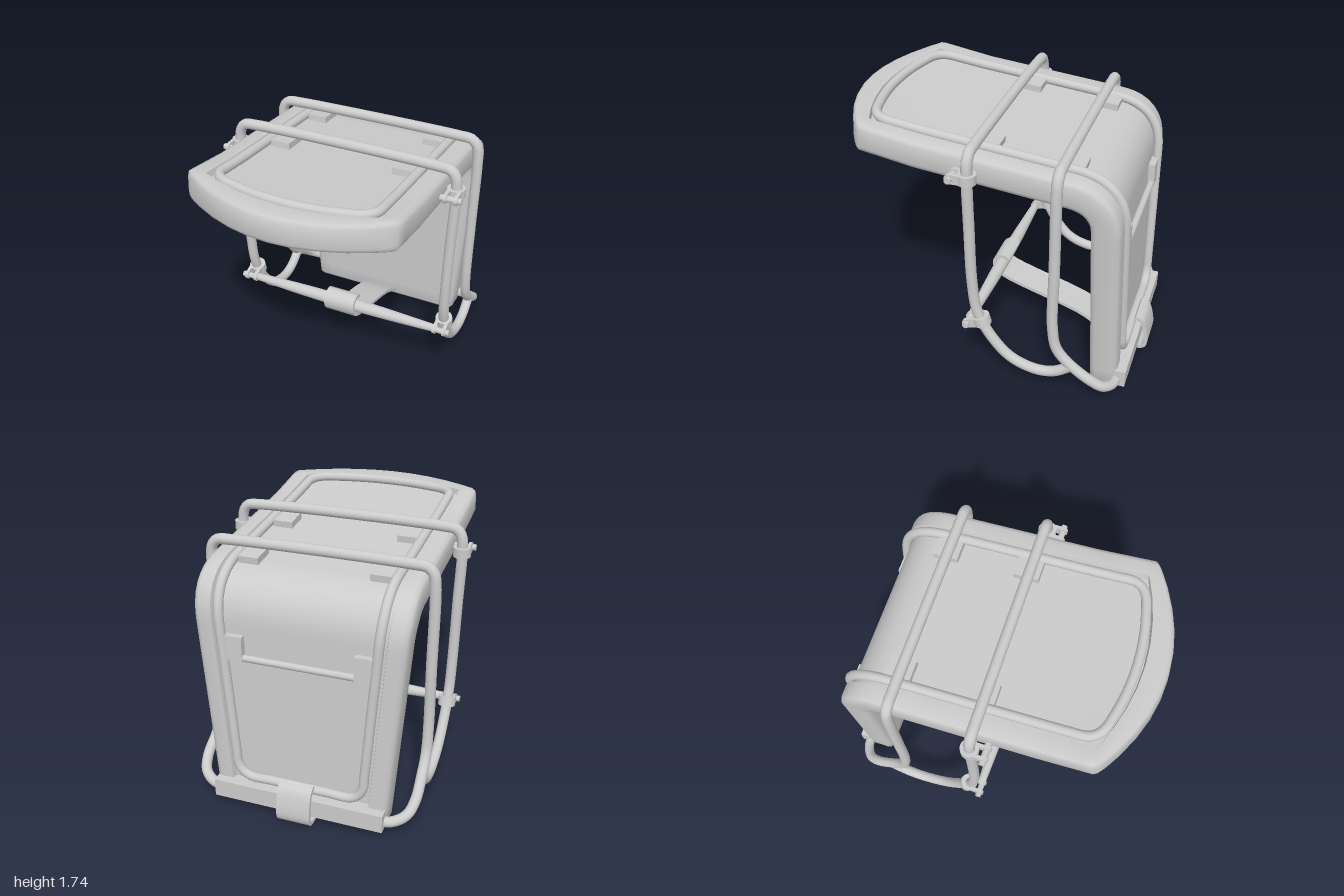
import * as THREE from 'three';
import { toCreasedNormals } from 'three/addons/utils/BufferGeometryUtils.js';

const V = (x, y, z) => new THREE.Vector3(x, y, z);
const H = 0.18; // panel thickness

// Centre line of the bent panel: front edge, bend, bottom edge
const spine = new THREE.CurvePath();
const b0 = V(0, 1.496, -0.54), b1 = V(0, 1.475, -0.76), b2 = V(0, 1.255, -0.765);
spine.add(new THREE.LineCurve3(V(0, 1.645, 0.99), b0));
spine.add(new THREE.QuadraticBezierCurve3(b0, b1, b2));
spine.add(new THREE.LineCurve3(b2, V(0, 0.05, -0.795)));
const L = spine.getLength();

const widthAt = s => 0.67 - 0.11 * Math.max(0, (s - 1.75) / (L - 1.75));

// Point at x across, n above the centre line, s along it; the front edge bows forward
function place(x, n, s) {
  const p = spine.getPoint(s / L), t = spine.getTangent(s / L);
  const bow = 0.24 * Math.max(0, 1 - s / 0.6) * (x / 0.67) ** 2;
  return V(x, p.y - t.z * n, p.z + t.y * n - bow);
}

export function createModel() {
  const model = new THREE.Group();
  const mat = new THREE.MeshStandardMaterial({ color: 0xcccccc });

  function add(name, geo, parent = model) {
    const mesh = new THREE.Mesh(geo, mat);
    mesh.name = name;
    parent.add(mesh);
    return mesh;
  }
  const tube = (name, pts, r, closed = false, n = 200) =>
    add(name, new THREE.TubeGeometry(new THREE.CatmullRomCurve3(pts, closed), n, r, 14, closed));
  const mirrored = half => [...half, ...half.map(p => V(-p.x, p.y, p.z)).reverse()];

  add('bentPanel', panelGeometry());

  // Frame tube lying in the panel's recess
  const nTube = H / 2 - 0.005, end = L - 0.17, side = s => widthAt(s) - 0.165;
  const half = [];
  for (const x of [0.06, 0.16, 0.26, 0.36, 0.42]) half.push([x, 0.185]);
  half.push([0.47, 0.205], [0.498, 0.25]);
  for (let i = 0; i <= 36; i++) {
    const s = 0.3 + (end - 0.09 - 0.3) * i / 36;
    half.push([side(s), s]);
  }
  half.push([side(end) - 0.025, end - 0.03], [side(end) - 0.08, end], [0.2, end], [0.06, end]);
  tube('panelFrame', mirrored(half.map(([x, s]) => place(x, nTube, s))), 0.03, true, 320);

  // Pads and rear crossbar on the panel
  for (const sx of [-1, 1]) {
    for (const s of [0.975, 1.497, L - 1.06]) {
      const pad = add('pad', new THREE.BoxGeometry(0.13, 0.045, 0.16));
      const t = spine.getTangent(s / L);
      pad.position.copy(place(0, H / 2 - 0.015, s)).setX(sx * 0.415);
      pad.rotation.x = Math.atan2(t.y, -t.z);
    }
  }
  const cross = add('rearCrossbar', new THREE.CylinderGeometry(0.022, 0.022, 0.94, 12));
  cross.rotation.z = Math.PI / 2;
  cross.position.copy(place(0, H / 2 - 0.015, L - 1));

  // Two hoops around the panel
  tube('frontHoop', mirrored([
    V(0.71, 0.28, -0.62), V(0.71, 0.205, -0.51), V(0.71, 0.185, -0.39), V(0.71, 0.24, -0.22),
    V(0.715, 0.4, -0.08), V(0.72, 0.58, 0), V(0.725, 0.8, 0.025), V(0.734, 1.2, 0.03),
    V(0.743, 1.58, 0.03), V(0.732, 1.65, 0.03), V(0.7, 1.69, 0.03), V(0.62, 1.7, 0.03),
  ]), 0.034);
  tube('rearHoop', mirrored([
    V(0.5, 0.1, -0.88), V(0.6, 0.105, -0.87), V(0.68, 0.14, -0.82), V(0.71, 0.2, -0.74),
    V(0.71, 0.3, -0.6), V(0.71, 0.4, -0.52), V(0.71, 0.56, -0.49), V(0.71, 1, -0.49),
    V(0.71, 1.53, -0.49), V(0.698, 1.6, -0.49), V(0.66, 1.638, -0.49), V(0.58, 1.645, -0.49),
  ]), 0.034);

  // Bolted clamps on the front hoop
  for (const sx of [-1, 1]) {
    for (const [name, x, y, z, tilt] of [['upperClamp', 0.742, 1.55, 0.03, 0], ['lowerClamp', 0.717, 0.51, -0.03, 0.28]]) {
      const clamp = new THREE.Group();
      clamp.name = name;
      clamp.position.set(sx * x, y, z);
      clamp.rotation.x = tilt;
      add('clampRing', new THREE.CylinderGeometry(0.056, 0.056, 0.06, 24), clamp);
      for (const e of [-1, 1]) {
        add('clampEar', new THREE.BoxGeometry(0.022, 0.06, 0.07), clamp).position.set(e * 0.034, 0, 0.06);
        const tip = add('clampEarTip', new THREE.CylinderGeometry(0.03, 0.03, 0.022, 16), clamp);
        tip.rotation.z = Math.PI / 2;
        tip.position.set(e * 0.034, 0, 0.093);
      }
      const bolt = add('clampBolt', new THREE.CylinderGeometry(0.02, 0.02, 0.135, 16), clamp);
      bolt.rotation.z = Math.PI / 2;
      bolt.position.z = 0.093;
      model.add(clamp);
    }
  }

  // Swelling rod between the lower clamps
  const rodPts = [];
  for (let i = 0; i <= 24; i++) {
    const x = -0.7 + 1.4 * i / 24;
    rodPts.push(new THREE.Vector2(0.025 + 0.019 * Math.cos(x / 0.7 * Math.PI / 2), x));
  }
  rodPts.unshift(new THREE.Vector2(0, -0.7));
  rodPts.push(new THREE.Vector2(0, 0.7));
  const rod = add('frontRod', new THREE.LatheGeometry(rodPts, 20));
  rod.rotation.z = Math.PI / 2;
  rod.position.set(0, 0.488, 0.055);

  // Bottom bar
  add('bottomBar', new THREE.BoxGeometry(1.12, 0.12, 0.12)).position.set(0, 0.12, -0.88);

  // Strap from the rod to the bottom bar
  const strapPath = new THREE.SplineCurve([
    [-0.9, 0.265], [-0.95, 0.235], [-0.978, 0.15], [-0.985, 0.06], [-0.95, 0.02], [-0.85, 0.025],
    [-0.72, 0.085], [-0.55, 0.19], [-0.4, 0.25], [-0.15, 0.325], [0.02, 0.385], [0.09, 0.44],
    [0.104, 0.5], [0.08, 0.54], [0.04, 0.552], [0, 0.53],
  ].map(p => new THREE.Vector2(...p)));
  const edges = [[], []];
  for (let i = 0; i <= 80; i++) {
    const p = strapPath.getPoint(i / 80), t = strapPath.getTangent(i / 80);
    [0.012, -0.012].forEach((o, k) => edges[k].push(new THREE.Vector2(p.x - t.y * o, p.y + t.x * o)));
  }
  const strapGeo = new THREE.ExtrudeGeometry(new THREE.Shape([...edges[0], ...edges[1].reverse()]),
    { depth: 0.22, bevelEnabled: false });
  strapGeo.translate(0, 0, -0.11).rotateY(-Math.PI / 2);
  add('strap', toCreasedNormals(strapGeo, 0.7));

  return model;
}

// Panel skin: rounded cross-sections with a shallow recess, swept along the spine
function panelGeometry() {
  const r = 0.035, r0 = 0.15, r1 = L - 0.125;
  // stations: [distance, edge inset, recess depth]
  const stations = [[0, 0.03, 0], [0.01, 0.01, 0], [0.03, 0, 0], [r0 - 0.01, 0, 0], [r0, 0, 0.035]];
  for (let i = 1; i < 70; i++) stations.push([r0 + (r1 - r0) * i / 70, 0, 0.035]);
  stations.push([r1, 0, 0.035], [r1 + 0.01, 0, 0], [L - 0.02, 0, 0], [L - 0.006, 0.006, 0], [L, 0.02, 0]);

  const pos = [], idx = [];
  let n = 0;
  for (const [s, inset, depth] of stations) {
    const w = widthAt(s) - inset, h = H / 2 - inset, rim = w - 0.115;
    const right = [0.25, 0.5, 0.75].map(f => [f * rim, depth, 0]);
    right.push([rim - 0.01, depth, 0], [rim, 0, 0], [w - r, 0, 0], [w - 0.29 * r, 0.29 * r, 0.29 * r], [w, r, r]);
    const row = [...right.map(([x, a, b]) => [-x, a, b]).reverse(), [0, depth, 0], ...right];
    const ring = [...row.map(([x, a]) => place(x, h - a, s)),
      ...row.map(([x, , b]) => place(x, b - h, s)).reverse()];
    n = ring.length;
    ring.forEach(p => pos.push(p.x, p.y, p.z));
  }
  const quad = (a, b, c, d) => idx.push(a, b, c, a, c, d);
  const last = (stations.length - 1) * n;
  for (let i = 0; i < last; i += n)
    for (let j = 0; j < n; j++) quad(i + j, i + (j + 1) % n, i + n + (j + 1) % n, i + n + j);
  for (let j = 0; j < n / 2 - 1; j++) {
    quad(j, n - 1 - j, n - 2 - j, j + 1);
    quad(last + j, last + j + 1, last + n - 2 - j, last + n - 1 - j);
  }
  const geo = new THREE.BufferGeometry();
  geo.setAttribute('position', new THREE.Float32BufferAttribute(pos, 3));
  geo.setIndex(idx);
  return toCreasedNormals(geo, 0.9);
}
